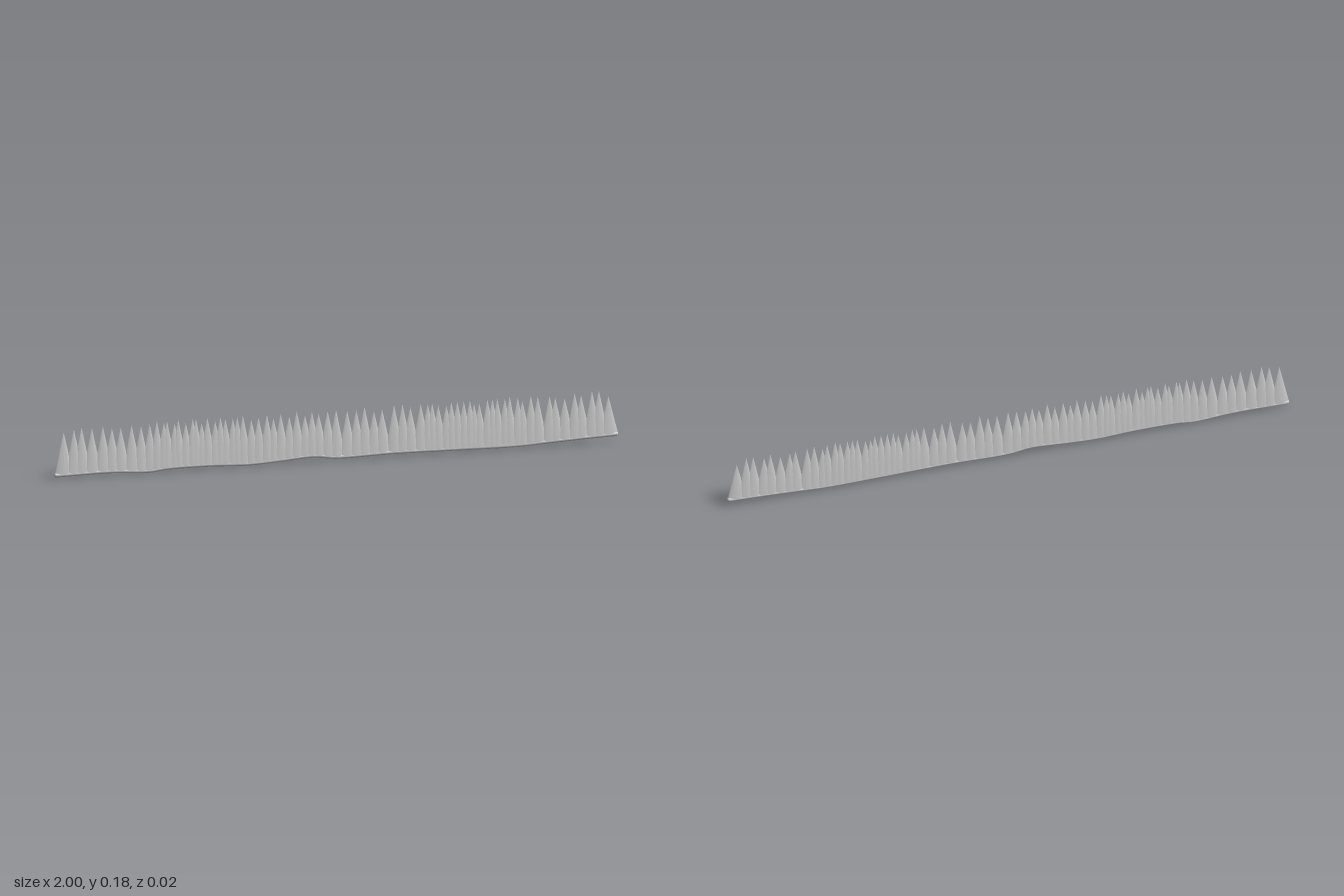
import * as THREE from 'three';

const BEAD = 0.008;

// Repeatable pseudo-random numbers in 0..1
function seeded(seed) {
  let s = seed;
  return () => (s = (s * 16807) % 2147483647) / 2147483647;
}

export function createModel() {
  const group = new THREE.Group();
  group.name = 'spikedStrip';
  const material = new THREE.MeshStandardMaterial({ color: 0xcccccc, side: THREE.DoubleSide });
  const rand = seeded(4217);

  // Slightly uneven centre line of the rounded bottom edge
  const keys = [
    [-0.992, 0.016], [-0.8, 0.018], [-0.66, 0.011], [-0.6, 0.017], [-0.45, 0.018], [-0.31, 0.013],
    [-0.2, 0.018], [-0.08, 0.025], [0, 0.016], [0.2, 0.019], [0.4, 0.017], [0.65, 0.015],
    [0.75, 0.02], [0.88, 0.026], [0.992, 0.03],
  ];
  const curve = new THREE.CatmullRomCurve3(keys.map(([x, y]) => new THREE.Vector3(x, y - 0.003, 0)));
  const baseY = (x) => {
    let i = 0;
    while (i < keys.length - 2 && keys[i + 1][0] < x) i++;
    const [a, b] = [keys[i], keys[i + 1]];
    return THREE.MathUtils.mapLinear(x, a[0], b[0], a[1], b[1]) - 0.003;
  };

  // Rounded bottom edge with closed ends
  const bead = new THREE.Mesh(new THREE.TubeGeometry(curve, 120, BEAD, 10), material);
  bead.name = 'bottomEdge';
  group.add(bead);
  for (const key of [keys[0], keys[keys.length - 1]]) {
    const end = new THREE.Mesh(new THREE.SphereGeometry(BEAD, 10, 8), material);
    end.name = 'bottomEdgeEnd';
    end.position.set(key[0], key[1] - 0.003, 0);
    group.add(end);
  }

  // Flattened, overlapping pointed blades: [first x, last x, count]
  const spikes = new THREE.Group();
  spikes.name = 'spikes';
  group.add(spikes);
  const runs = [
    [-0.965, -0.66, 10], [-0.635, -0.33, 16], [-0.3, -0.03, 11],
    [0, 0.3, 10], [0.325, 0.66, 17], [0.69, 0.965, 10],
  ];
  for (const [x0, x1, count] of runs) {
    for (let i = 0; i < count; i++) {
      const edge = i === 0 || i === count - 1;
      const x = THREE.MathUtils.lerp(x0, x1, i / (count - 1)) + (edge ? 0 : (rand() - 0.5) * 0.012);
      const bottom = baseY(x);
      const height = 0.158 + rand() * 0.022 - bottom;
      const blade = new THREE.Mesh(new THREE.ConeGeometry(1, 1, 12, 1, true), material);
      blade.name = 'spike';
      blade.scale.set(0.035, height, BEAD);
      blade.position.set(x, bottom + height / 2, 0);
      spikes.add(blade);
    }
  }
  return group;
}
